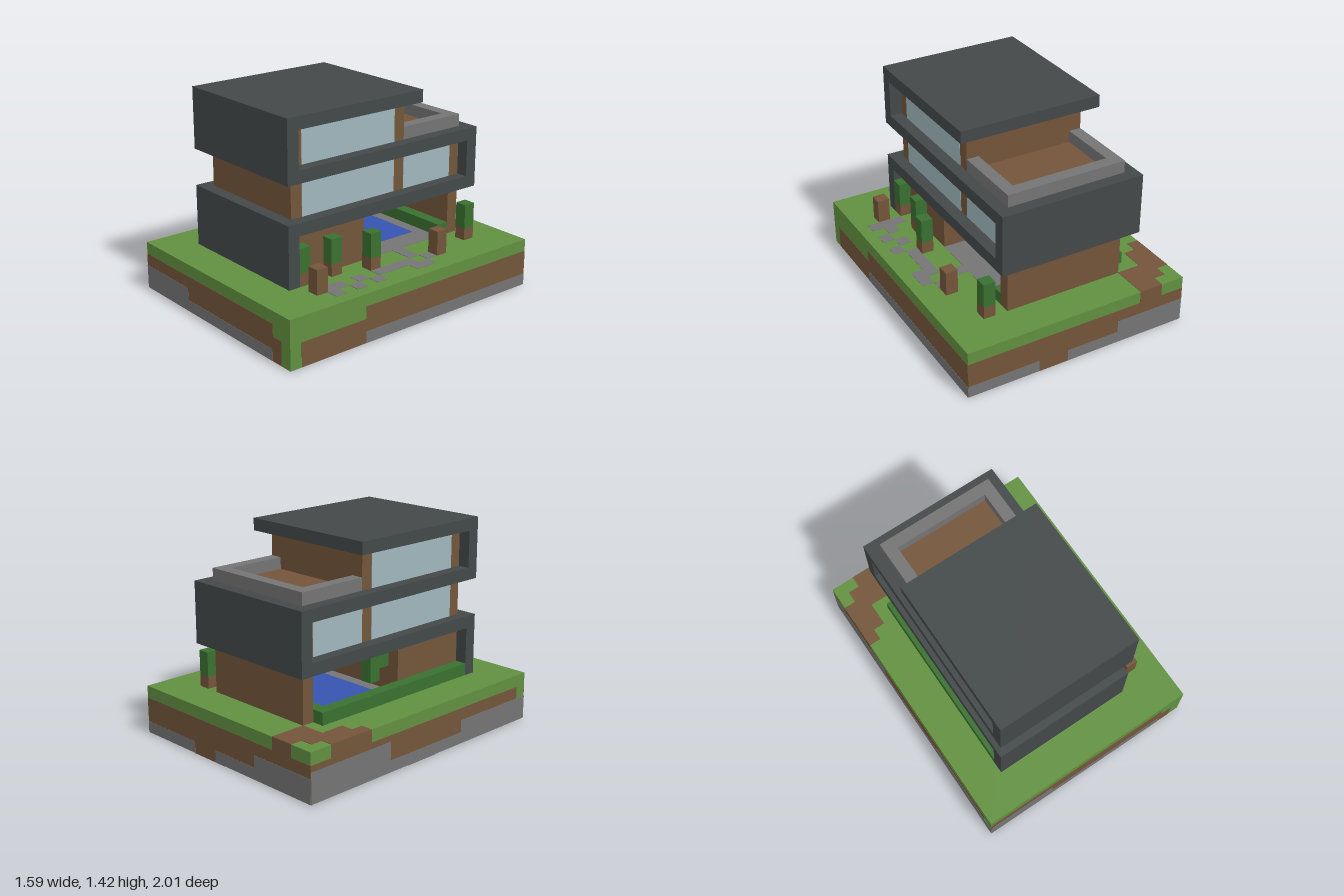
import * as THREE from 'three';

const U = 1 / 12; // one building block
const material = (name, color) => {
  const m = new THREE.MeshStandardMaterial({ color });
  m.name = name;
  return m;
};

export function createModel() {
  const grass = material('grass', 0x619040);
  const dirt = material('dirt', 0x73553a);
  const stone = material('stone', 0x747474);
  const slate = material('slate', 0x434848);
  const glass = material('glass', 0x9fb6bc);
  const leaf = material('leaf', 0x3a7030);
  const water = material('water', 0x3655b0);
  const teal = material('poolLining', 0x62988a);

  const model = new THREE.Group();
  model.scale.setScalar(U);
  let parent = model;
  const group = (name) => {
    parent = new THREE.Group();
    parent.name = name;
    model.add(parent);
  };
  const add = (name, geometry, mat) => {
    const mesh = new THREE.Mesh(geometry, mat);
    mesh.name = name;
    parent.add(mesh);
    return mesh;
  };
  // Box between two corners, in blocks
  const box = (name, mat, x0, x1, y0, y1, z0, z1) =>
    add(name, new THREE.BoxGeometry(x1 - x0, y1 - y0, z1 - z0), mat)
      .position.set((x0 + x1) / 2, (y0 + y1) / 2, (z0 + z1) / 2);
  // Horizontal slab with one rectangular opening
  const corners = (x0, x1, z0, z1) => [[x0, -z0], [x1, -z0], [x1, -z1], [x0, -z1]].map(p => new THREE.Vector2(...p));
  const openSlab = (name, mat, [x0, x1, z0, z1], hole, y0, y1) => {
    const shape = new THREE.Shape(corners(x0, x1, z0, z1));
    shape.holes.push(new THREE.Path(corners(...hole)));
    const geometry = new THREE.ExtrudeGeometry(shape, { depth: y1 - y0, bevelEnabled: false });
    geometry.rotateX(-Math.PI / 2);
    add(name, geometry, mat).position.y = y0;
  };

  // Ground block, with a raised pocket underneath the pool
  group('ground');
  const pocket = [0.5, 3.5, -6, 0];
  box('groundTop', grass, -9.5, 9.5, 1, 4, -12, 12);
  openSlab('groundBase', grass, [-9.5, 9.5, -12, 12], pocket, 0.06, 1);
  openSlab('undersideStone', stone, [-9.5, 9.5, -12, 12], pocket, 0.04, 0.06);
  openSlab('poolUnderside', glass, [-4.5, 4.25, -7, 1], pocket, 0.02, 0.04);
  openSlab('poolFloorUnderside', teal, [-3.5, 3.5, -6.02, 0.02], pocket, 0, 0.02);
  box('pocketCeiling', teal, 0.5, 3.5, 0.96, 1, -6, 0);
  box('pocketWallX', teal, 0.5, 0.54, 0.03, 0.96, -6, 0);
  box('pocketWallX', teal, 3.46, 3.5, 0.03, 0.96, -6, 0);
  box('pocketWallZ', glass, 0.5, 3.5, 0.03, 0.96, -0.04, 0);
  box('pocketWallZ', glass, 0.5, 3.5, 0.03, 0.96, -6, -5.96);
  for (const [x0, x1, z0, z1] of [[-9.5, -7, -2, 1], [-7, -5.5, 0, 3], [-4, -2.5, 6, 7.5], [0, 3.5, -12, -9]])
    box('undersideDirt', dirt, x0, x1, 0.01, 0.04, z0, z1);

  // Soil and rock strata on the four sides: [from, to, bottom, top]
  const strata = {
    front: { dirt: [[-9.5, 7.5, 0, 3], [7.5, 8.5, 0, 2]], stone: [[-9.5, -3.5, 0, 2], [-3.5, 7.4, 0, 1]] },
    right: { dirt: [[-12, 5, 0, 3], [5, 11, 0, 2]], stone: [[-12, 5, 0, 1]] },
    back: {
      dirt: [[-9.5, 9.5, 0, 3], [-7.5, -5.5, 3, 4]],
      stone: [[3.5, 9.5, 0, 1], [-3.5, 1, 0, 1], [-9.5, -3.5, 0, 2]],
    },
    left: { dirt: [[-12, 11, 0, 3], [-10, -6, 3, 4]], stone: [[-12, -4, 0, 2.5], [-4, 4, 0, 1], [4, 12, 0, 2]] },
  };
  for (const [side, layers] of Object.entries(strata)) {
    for (const [layer, t] of [['dirt', 0.02], ['stone', 0.04]]) {
      for (const [a, b, y0, y1] of layers[layer]) {
        const mat = layer === 'dirt' ? dirt : stone;
        const low = Math.max(y0, 0.06);
        if (side === 'front') box(layer, mat, a, b, low, y1, 12, 12 + t);
        if (side === 'back') box(layer, mat, a, b, low, y1, -12 - t, -12);
        if (side === 'right') box(layer, mat, 9.5, 9.5 + t, low, y1, a, b);
        if (side === 'left') box(layer, mat, -9.5 - t, -9.5, low, y1, a, b);
      }
    }
  }
  // Bare soil on the lawn corner
  for (const [x0, x1, z0, z1] of [[-7.5, -5.5, -12, -10], [-8.5, -7.5, -11, -10], [-8.5, -5.5, -10, -9],
    [-9.5, -8.5, -10, -6], [-8.5, -7.5, -9, -7]])
    box('lawnSoil', dirt, x0, x1, 4, 4.03, z0, z1);

  // Pool with paved rim
  group('pool');
  box('poolPaving', stone, -5.5, 4.5, 4, 4.03, -7, 1);
  box('poolWater', water, -4.5, 2.5, 4.03, 4.06, -6, 0);

  // Stepping stones: row z -> block columns
  group('path');
  const rows = [[6.5], [4.5, 5.5, 7.5], [6.5, 7.5], [6.5], [6.5], [6.5], [7.5], [6.5], [7.5], [6.5], [5.5, 6.5, 7.5]];
  rows.forEach((cols, i) => cols.forEach(x => box('steppingStone', stone, x, x + 1, 4, 4.03, i - 4, i - 3)));
  for (const z of [-5, 7]) box('pathPost', dirt, 6.5, 7.5, 4, 6, z, z + 1);

  // Planting
  group('plants');
  for (const [x, z] of [[4.5, 7], [4.5, 4], [5.5, 1], [5.5, -9]]) {
    box('trunk', dirt, x, x + 1, 4, 5, z, z + 1);
    box('foliage', leaf, x, x + 1, 5, 7, z, z + 1);
  }
  box('sideHedge', leaf, -6.5, -5.5, 4, 5, -8, 8);
  box('backHedge', leaf, -5.5, 4.5, 4, 5, -8, -7);
  box('vine', leaf, -4.5, -3.5, 5, 8, -1, 0);
  box('vine', leaf, -4.5, -3.5, 6, 8, 0, 1);

  // Folded slate frame: slabs linked by alternating end walls
  group('frame');
  const frame = (name, y0, y1, z0, z1) => box(name, slate, -6.5, 5.5, y0, y1, z0, z1);
  frame('lowerFrontWall', 4, 8, 8, 9);
  frame('lowerSlab', 8, 9, -10, 9);
  frame('middleBackWall', 9, 12, -10, -9);
  frame('middleSlab', 12, 13, -10, 9);
  frame('upperFrontWall', 13, 16, 8, 9);
  frame('roof', 16, 17, -4, 9);

  // Rooms between the slabs, glazed on both sides
  group('rooms');
  box('groundRoom', dirt, -5.5, 4.5, 4, 8, 1, 8);
  box('groundBackWall', dirt, -5.5, 4.5, 4, 8, -9, -8);
  box('middleRoom', dirt, -5.5, 4.5, 9, 12, -9, 8);
  box('upperRoom', dirt, -5.5, 4.5, 13, 16, -3, 8);
  for (const [y, z0, z1] of [[9, -2, 7], [9, -8, -3], [13, -2, 7]]) {
    box('rightWindow', glass, 4.5, 4.53, y, y + 3, z0, z1);
    box('leftWindow', glass, -5.53, -5.5, y, y + 3, z0, z1);
  }

  // Roof terrace with low stone parapet
  group('terrace');
  box('deck', dirt, -4.5, 3.5, 13, 13.05, -8, -3);
  box('parapetBack', stone, -5.5, 4.5, 13, 14, -9, -8);
  for (const x of [-5.5, 3.5]) box('parapetSide', stone, x, x + 1, 13, 14, -8, -3);

  const root = new THREE.Group();
  root.name = 'house';
  root.add(model);
  return root;
}
